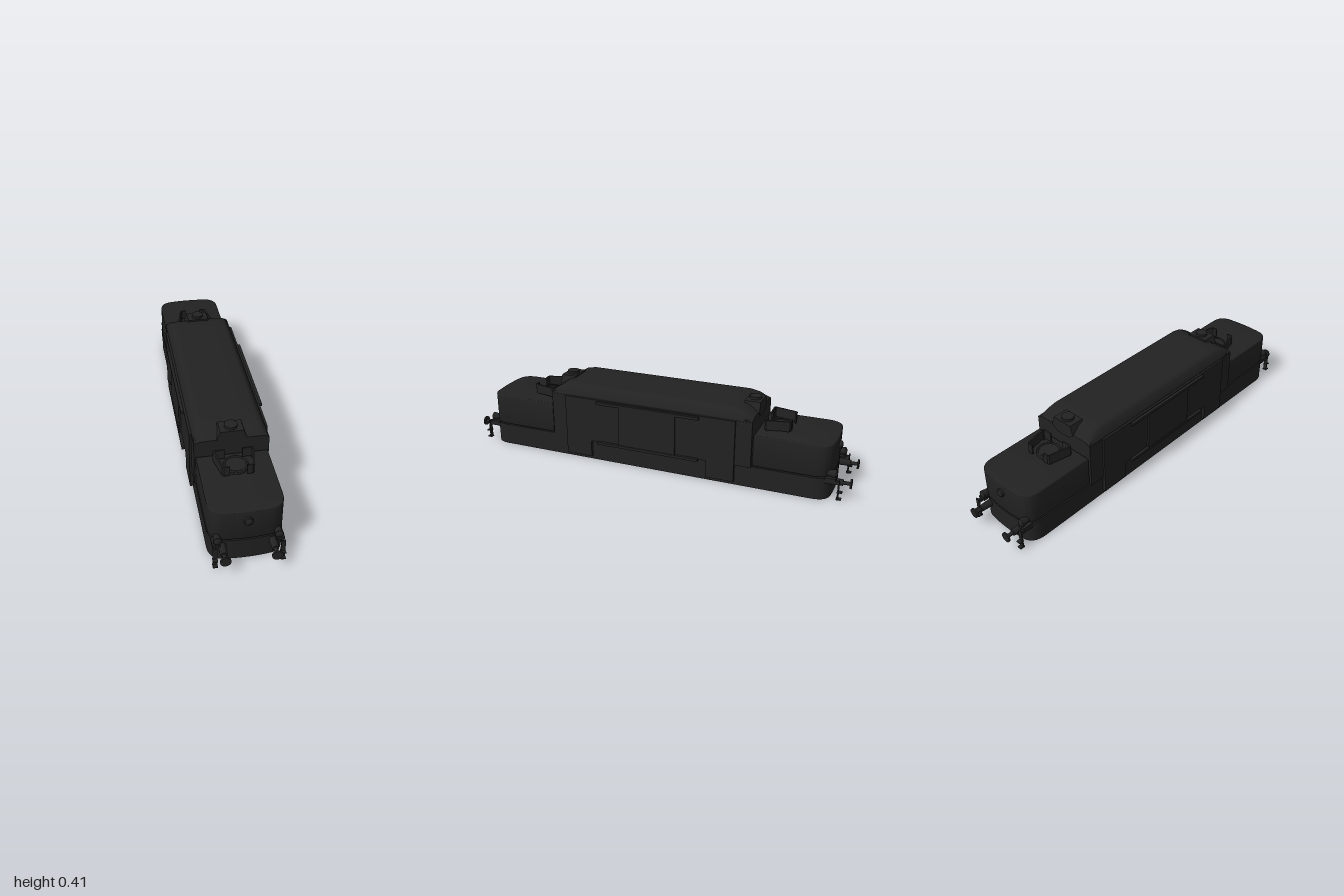
import * as THREE from 'three';
import { toCreasedNormals } from 'three/addons/utils/BufferGeometryUtils.js';

const paint = new THREE.MeshStandardMaterial({ color: 0x222222 });
const thin = new THREE.MeshStandardMaterial({ color: 0x222222, side: THREE.DoubleSide });

function add(parent, name, geo, x = 0, y = 0, z = 0, mat = paint) {
  const m = new THREE.Mesh(geo, mat);
  m.name = name;
  m.position.set(x, y, z);
  parent.add(m);
  return m;
}
const box = (w, h, d) => new THREE.BoxGeometry(w, h, d);
// cylinder along z
const rod = (r0, r1, len, n = 24) => new THREE.CylinderGeometry(r0, r1, len, n).rotateX(Math.PI / 2);
const poly = (pts) => new THREE.Shape(pts.map(([x, y]) => new THREE.Vector2(x, y)));

// half outline of a rounded nose: side, corner, gently bowed end
function noseCurve(s, w, end) {
  s.lineTo(w, end - 0.09);
  s.bezierCurveTo(w, end - 0.03, w - 0.03, end - 0.012, w - 0.06, end - 0.007);
  s.quadraticCurveTo(0, end + 0.006, -w + 0.06, end - 0.007);
  s.bezierCurveTo(-w + 0.03, end - 0.012, -w, end - 0.03, -w, end - 0.09);
}
// plan shape (x, z) extruded upward, with an optional bevel
function plan(shape, y0, y1, bevel = 0) {
  const g = new THREE.ExtrudeGeometry(shape, {
    depth: y1 - y0 - 2 * bevel, curveSegments: 12, bevelEnabled: bevel > 0,
    bevelSize: bevel, bevelThickness: bevel, bevelOffset: -bevel, bevelSegments: 3,
  });
  g.rotateX(-Math.PI / 2).scale(1, 1, 1).translate(0, y0 + bevel, 0);
  return toCreasedNormals(g.rotateY(Math.PI), 0.6);
}

function roofGeometry() {
  const s = new THREE.Shape();
  s.moveTo(-0.172, 0.335);
  s.lineTo(0.172, 0.335);
  s.lineTo(0.17, 0.345);
  s.lineTo(0.155, 0.373);
  s.quadraticCurveTo(0.147, 0.388, 0.13, 0.391);
  s.quadraticCurveTo(0, 0.397, -0.13, 0.391);
  s.quadraticCurveTo(-0.147, 0.388, -0.155, 0.373);
  s.lineTo(-0.17, 0.345);
  const g = new THREE.ExtrudeGeometry(s, { depth: 1.06, steps: 22, bevelEnabled: false, curveSegments: 8 });
  g.translate(0, 0, -0.53);
  // hip both roof ends downward
  const p = g.attributes.position;
  for (let i = 0; i < p.count; i++) {
    const t = THREE.MathUtils.clamp((Math.abs(p.getZ(i)) - 0.43) / 0.1, 0, 1);
    const y = p.getY(i);
    if (y > 0.34) p.setY(i, 0.34 + (y - 0.34) * (1 - 0.78 * t * t));
  }
  return toCreasedNormals(g, 0.5);
}

// everything that appears at one end, built toward +z
function makeEnd(name) {
  const end = new THREE.Group();
  end.name = name;

  const s = new THREE.Shape();
  s.moveTo(-0.166, 0.536);
  s.lineTo(0.166, 0.536);
  noseCurve(s, 0.166, 0.912);
  const hood = add(end, 'hood', plan(s, 0.114, 0.273, 0.006));
  hood.rotation.y = Math.PI;
  const core = add(end, 'hoodSeam', box(0.31, 0.14, 0.3), 0, 0.17, 0.62);
  core.name = 'hoodCore';

  // fan and its two guard brackets
  add(end, 'fanBase', new THREE.CylinderGeometry(0.055, 0.058, 0.012, 32), 0, 0.278, 0.625);
  add(end, 'fanRing', new THREE.TorusGeometry(0.052, 0.005, 8, 32).rotateX(Math.PI / 2), 0, 0.284, 0.625);
  for (const sx of [-1, 1]) {
    const g = poly([
      [0.04, 0.568], [0.09, 0.568], [0.096, 0.576], [0.072, 0.684], [0.064, 0.69], [0.038, 0.69],
      [0.038, 0.683], [0.061, 0.683], [0.066, 0.678], [0.087, 0.579], [0.084, 0.575], [0.04, 0.575],
    ].map(([x, z]) => [x * sx, z]));
    const guard = add(end, 'fanGuard', plan(g, 0.279, 0.328));
    guard.rotation.y = Math.PI;
    for (const z of [0.58, 0.675])
      add(end, 'guardFoot', box(0.008, 0.012, 0.008), sx * (z < 0.6 ? 0.085 : 0.066), 0.276, z);
  }

  // roof headlight housing
  const house = new THREE.ExtrudeGeometry(
    poly([[-0.04, 0.325], [0.04, 0.325], [0.07, 0.35], [0.054, 0.397], [-0.054, 0.397], [-0.07, 0.35]]),
    { depth: 0.078, bevelEnabled: false });
  add(end, 'roofHousing', house, 0, 0, 0.456);
  add(end, 'roofCap', new THREE.CylinderGeometry(0.03, 0.03, 0.016, 24), 0, 0.402, 0.495);

  // central nose lamp
  add(end, 'noseLamp', rod(0.02, 0.02, 0.02), 0, 0.222, 0.912);
  add(end, 'noseLens', new THREE.SphereGeometry(0.018, 20, 12).scale(1, 1, 0.45), 0, 0.222, 0.921);

  for (const sx of [-1, 1]) {
    // marker lamp
    add(end, 'lampBody', rod(0.02, 0.014, 0.04), sx * 0.133, 0.132, 0.906);
    add(end, 'lampLens', new THREE.SphereGeometry(0.018, 20, 12).scale(1, 1, 0.5), sx * 0.133, 0.132, 0.925);
    add(end, 'lampBracket', box(0.036, 0.012, 0.05), sx * 0.139, 0.109, 0.905);
    // buffer
    add(end, 'bufferSleeve', rod(0.015, 0.018, 0.06), sx * 0.111, 0.083, 0.93);
    add(end, 'bufferRod', rod(0.009, 0.009, 0.05), sx * 0.111, 0.083, 0.972);
    add(end, 'bufferHead', rod(0.024, 0.024, 0.008, 32), sx * 0.111, 0.083, 0.996);
    // footstep hanger
    add(end, 'stepHanger', box(0.02, 0.1, 0.006), sx * 0.148, 0.06, 0.945);
    add(end, 'stepTread', box(0.022, 0.005, 0.024), sx * 0.148, 0.05, 0.952);
    add(end, 'stepTread', box(0.022, 0.005, 0.024), sx * 0.148, 0.014, 0.95);
    add(end, 'stepArm', box(0.014, 0.016, 0.09), sx * 0.148, 0.095, 0.902);
  }
  return end;
}

export function createModel() {
  const model = new THREE.Group();
  model.name = 'locomotive';

  // rounded underframe
  const s = new THREE.Shape();
  s.moveTo(0.167, -0.82);
  noseCurve(s, 0.167, 0.912);
  s.lineTo(-0.167, -0.822);
  s.bezierCurveTo(-0.167, -0.882, -0.137, -0.9, -0.107, -0.905);
  s.quadraticCurveTo(0, -0.918, 0.107, -0.905);
  s.bezierCurveTo(0.137, -0.9, 0.167, -0.882, 0.167, -0.822);
  add(model, 'underframe', plan(s, 0, 0.11));

  // central body and hipped roof
  add(model, 'body', box(0.346, 0.232, 1.06), 0, 0.222, 0);
  add(model, 'roof', roofGeometry());

  for (const sx of [-1, 1]) {
    const side = new THREE.Group();
    side.name = sx > 0 ? 'leftSide' : 'rightSide';
    // side skirt panel, notched below the doors
    const panel = new THREE.ExtrudeGeometry(poly([
      [-0.45, 0.02], [-0.31, 0.02], [-0.31, 0.108], [0.31, 0.108],
      [0.31, 0.02], [0.45, 0.02], [0.45, 0.337], [-0.45, 0.337],
    ]), { depth: 0.018, bevelEnabled: false });
    panel.rotateY(-Math.PI / 2).translate(0.009, 0, 0);
    add(side, 'sidePanel', panel, sx * 0.174);
    // sliding door with its rails
    add(side, 'slidingDoor', box(0.01, 0.222, 0.3), sx * 0.188, 0.216, 0);
    add(side, 'upperRail', box(0.016, 0.014, 0.54), sx * 0.189, 0.325, 0);
    add(side, 'lowerRail', box(0.016, 0.014, 0.54), sx * 0.189, 0.107, 0);
    model.add(side);
  }

  const front = makeEnd('frontEnd');
  const rear = makeEnd('rearEnd');
  rear.rotation.y = Math.PI;
  model.add(front, rear);
  return model;
}
